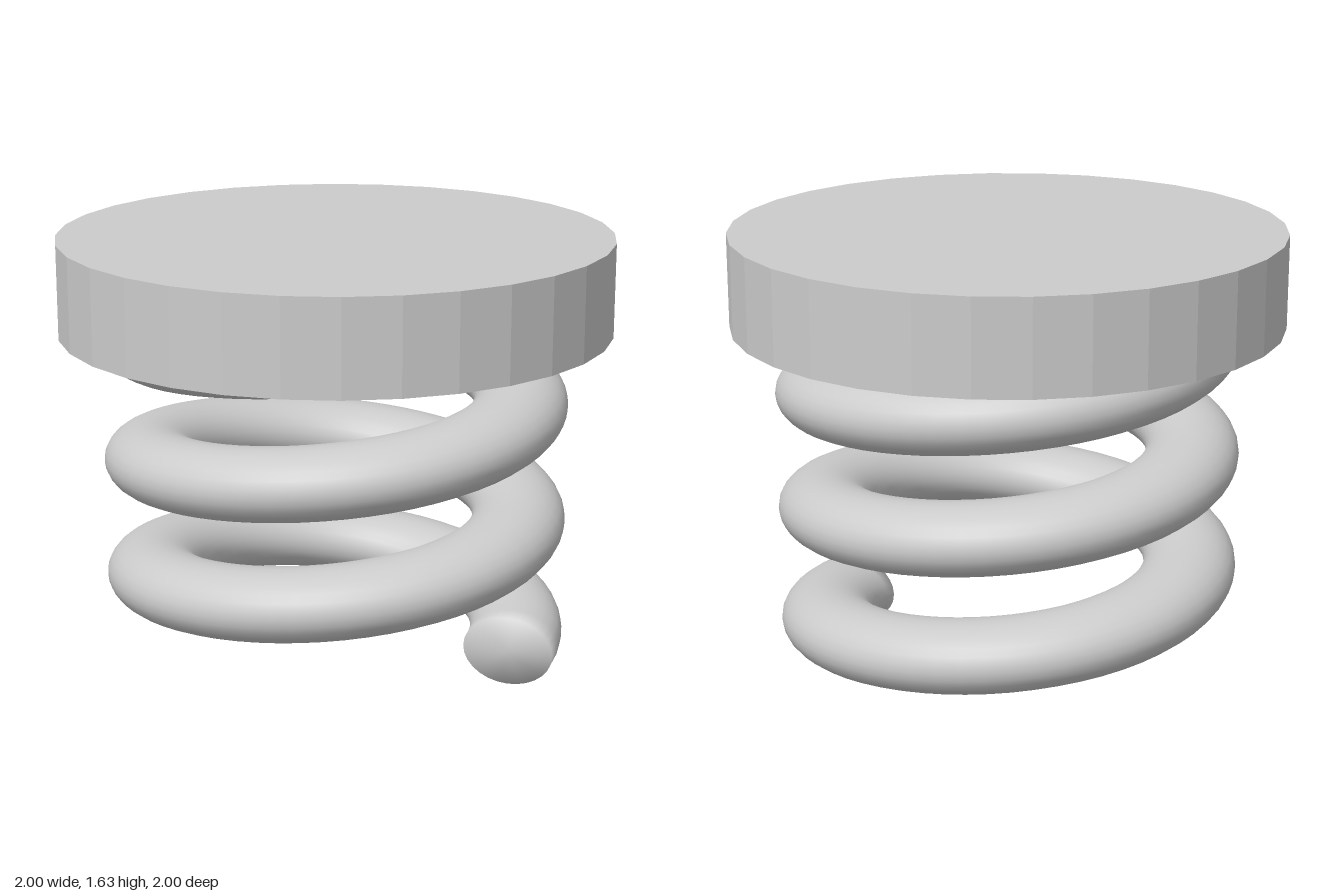
import * as THREE from 'three';

const TURNS = 3, PITCH = 0.435, COIL_RADIUS = 0.675, START_Y = 0.13;
const HALF_WIDTH = 0.17, HALF_HEIGHT = 0.128;

// Helix swept with an upright elliptical section, closed at both ends
function coilGeometry(steps = 180, sides = 28) {
  const positions = [], index = [];
  for (let i = 0; i <= steps; i++) {
    const t = (i / steps) * TURNS * Math.PI * 2;
    const y = START_Y + (i / steps) * TURNS * PITCH;
    for (let j = 0; j < sides; j++) {
      const p = (j / sides) * Math.PI * 2;
      const r = COIL_RADIUS + HALF_WIDTH * Math.cos(p);
      positions.push(r * Math.cos(t), y + HALF_HEIGHT * Math.sin(p), -r * Math.sin(t));
    }
  }
  const at = (i, j) => i * sides + (j % sides);
  for (let i = 0; i < steps; i++) {
    for (let j = 0; j < sides; j++) {
      const a = at(i, j), b = at(i + 1, j), c = at(i + 1, j + 1), d = at(i, j + 1);
      index.push(a, b, d, b, c, d);
    }
  }
  // End caps share the rim vertices so the shading rolls over the edge
  const first = positions.length / 3, last = first + 1;
  positions.push(COIL_RADIUS, START_Y, 0, COIL_RADIUS, START_Y + TURNS * PITCH, 0);
  for (let j = 0; j < sides; j++) {
    index.push(first, at(0, j), at(0, j + 1));
    index.push(last, at(steps, j + 1), at(steps, j));
  }
  const geometry = new THREE.BufferGeometry();
  geometry.setAttribute('position', new THREE.Float32BufferAttribute(positions, 3));
  geometry.setIndex(index);
  geometry.computeVertexNormals();
  return geometry;
}

export function createModel() {
  const group = new THREE.Group();
  group.name = 'springPad';

  // Coil spring
  const spring = new THREE.Mesh(coilGeometry(), new THREE.MeshStandardMaterial({ color: 0xcccccc }));
  spring.name = 'spring';

  // Faceted round plate on top
  const plate = new THREE.Mesh(
    new THREE.CylinderGeometry(1, 1, 0.34, 32),
    new THREE.MeshStandardMaterial({ color: 0xcccccc, flatShading: true })
  );
  plate.name = 'topPlate';
  plate.position.y = 1.46;

  group.add(spring, plate);
  return group;
}
